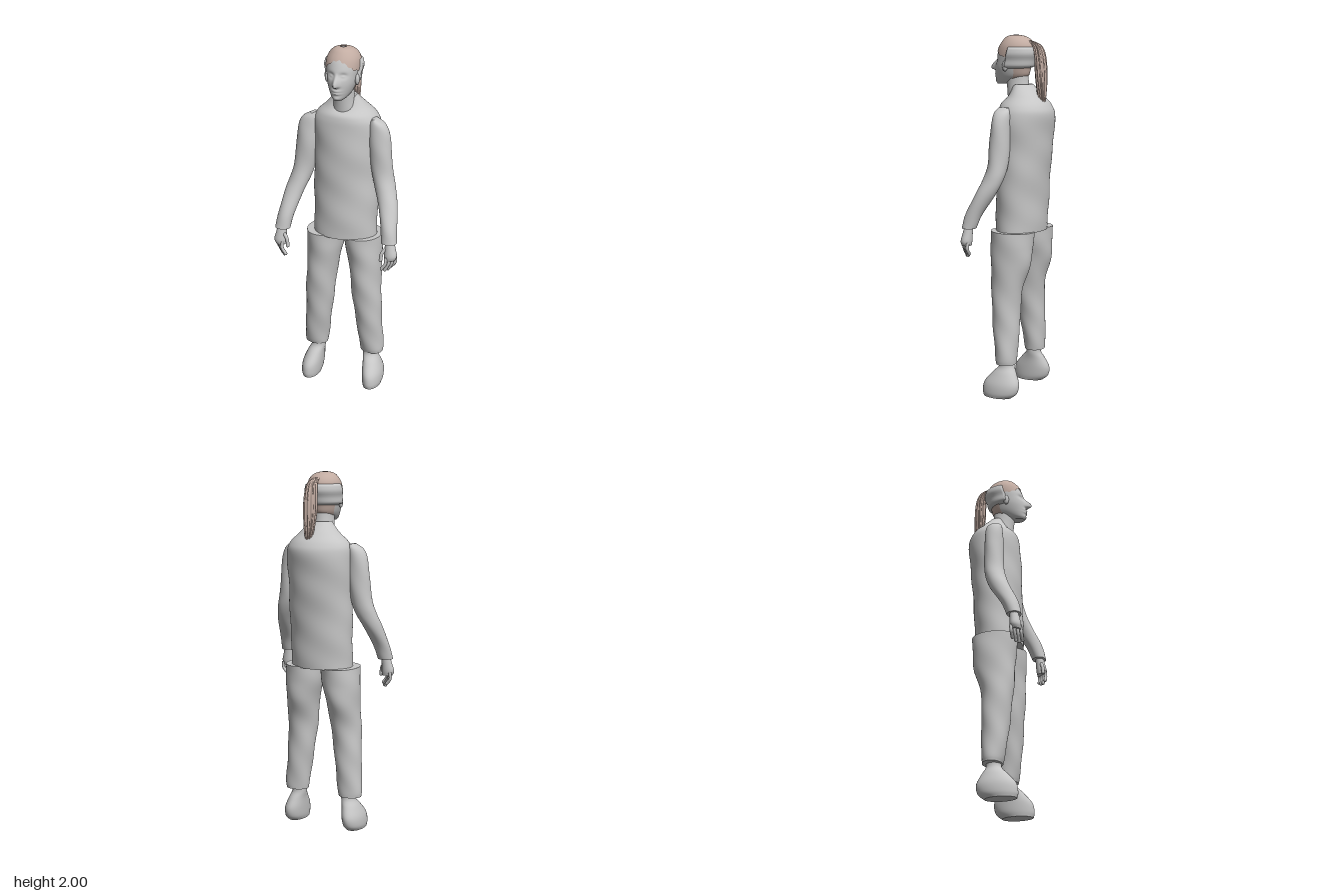
import * as THREE from 'three';

const grey = new THREE.MeshStandardMaterial({ color: 0xc6c6c6 });
grey.name = 'plain grey';
const brown = new THREE.MeshStandardMaterial({ color: 0xc2aca2, side: THREE.DoubleSide });
brown.name = 'hair brown';

const gauss = (d, w) => Math.exp(-(d * d) / (w * w));
const { smoothstep, lerp } = THREE.MathUtils;

// Grid surface from point(u, v); u runs around, v upwards. Optional flat caps.
function surface(n, m, point, closed = true, caps = false) {
  const pos = [], idx = [], cols = closed ? n : n + 1;
  for (let j = 0; j <= m; j++)
    for (let i = 0; i < cols; i++) pos.push(...point(i / n, j / m));
  for (let j = 0; j < m; j++)
    for (let i = 0; i < n; i++) {
      const k = (i + 1) % cols;
      const a = j * cols + i, b = j * cols + k, c = b + cols, d = a + cols;
      idx.push(a, b, d, b, c, d);
    }
  if (caps) for (const v of [0, 1]) {
    const start = pos.length / 3, mid = [0, 0, 0];
    for (let i = 0; i < n; i++) {
      const p = point(i / n, v);
      pos.push(...p);
      p.forEach((q, k) => { mid[k] += q / n; });
    }
    pos.push(...mid);
    for (let i = 0; i < n; i++) {
      const a = start + i, b = start + (i + 1) % n;
      idx.push(...(v ? [a, b, start + n] : [b, a, start + n]));
    }
  }
  const geo = new THREE.BufferGeometry();
  geo.setAttribute('position', new THREE.Float32BufferAttribute(pos, 3));
  geo.setIndex(idx);
  geo.computeVertexNormals();
  return geo;
}

// Smooth body through oval sections [x, y, z, halfWidth, halfDepth], lowest first
function makeBody(rings) {
  const centre = new THREE.CatmullRomCurve3(rings.map(r => new THREE.Vector3(r[0], r[1], r[2])), false, 'catmullrom');
  const radii = new THREE.CatmullRomCurve3(rings.map(r => new THREE.Vector3(r[3], r[4], 0)), false, 'catmullrom');
  return {
    at(angle, t, grow = 0) {
      const c = centre.getPoint(t), r = radii.getPoint(t);
      return [c.x + (r.x + grow) * Math.sin(angle), c.y, c.z + (r.y + grow) * Math.cos(angle)];
    },
    tAt(y) {
      let lo = 0, hi = 1;
      for (let i = 0; i < 24; i++) {
        const mid = (lo + hi) / 2;
        if (centre.getPoint(mid).y < y) lo = mid; else hi = mid;
      }
      return lo;
    },
  };
}

function loft(rings, n, m, deform = p => p) {
  const body = makeBody(rings);
  return surface(n, m, (u, v) => {
    const a = u * Math.PI * 2;
    return deform(body.at(a, v), a);
  }, true, true);
}

// Gentle cloth folds
const folds = size => (p, a) => {
  const f = size * (Math.sin(p[1] * 31 + 3 * a) + Math.sin(p[1] * 19 - 2 * a + 1));
  return [p[0] + f * Math.sin(a), p[1], p[2] + f * Math.cos(a)];
};

const HEAD = [ // x, y, z, halfWidth, halfDepth
  [0.01, 1.735, 0.095, 0.026, 0.04], [0.01, 1.75, 0.07, 0.044, 0.071],
  [0.01, 1.78, 0.049, 0.062, 0.094], [0.01, 1.82, 0.043, 0.075, 0.1],
  [0.01, 1.86, 0.033, 0.082, 0.104], [0.01, 1.9, 0.022, 0.087, 0.104],
  [0.01, 1.94, 0.015, 0.083, 0.094], [0.01, 1.97, 0.014, 0.066, 0.073],
  [0.01, 1.988, 0.02, 0.042, 0.045], [0.01, 1.994, 0.022, 0.01, 0.01],
];

// Nose, eye sockets, lips and chin pushed out of the head
function face([x, y, z], a) {
  if (Math.cos(a) <= 0.2) return [x, y, z];
  const dx = x - 0.01;
  const nose = smoothstep(1.885 - y, 0, 0.06) * smoothstep(y, 1.802, 1.818);
  let out = 0.035 * nose * gauss(dx, 0.008 + 0.007 * nose);
  for (const s of [-1, 1]) {
    out -= 0.012 * gauss(dx - s * 0.033, 0.019) * gauss(y - 1.868, 0.014);
    out += 0.007 * gauss(dx - s * 0.033, 0.011) * gauss(y - 1.865, 0.006);
  }
  out += 0.008 * gauss(dx, 0.024) * (gauss(y - 1.79, 0.006) + gauss(y - 1.775, 0.006));
  out += 0.005 * gauss(dx, 0.02) * gauss(y - 1.748, 0.01);
  return [x, y, z + out];
}

export function createModel() {
  const model = new THREE.Group();
  const add = (name, geo, mat = grey, parent = model) => {
    const mesh = new THREE.Mesh(geo, mat);
    mesh.name = name;
    parent.add(mesh);
    return mesh;
  };

  // Shirt body, with the collar dipping at the front
  const cloth = folds(0.0015);
  add('shirt', loft([
    [0.01, 0.93, -0.013, 0.18, 0.132], [0.01, 1.07, -0.018, 0.181, 0.134],
    [0.01, 1.25, -0.027, 0.182, 0.138], [0.01, 1.42, -0.035, 0.184, 0.144],
    [0.01, 1.56, -0.045, 0.186, 0.148], [0.01, 1.62, -0.042, 0.168, 0.135],
    [0.01, 1.67, -0.033, 0.118, 0.103], [0.01, 1.71, -0.022, 0.082, 0.073],
    [0.01, 1.735, -0.015, 0.062, 0.055],
  ], 56, 56, (p, a) => {
    const [x, y, z] = cloth(p, a);
    return [x, y - 0.055 * smoothstep(y, 1.62, 1.735) * Math.max(0, Math.cos(a)) ** 2, z];
  }));

  add('neck', loft([
    [0.01, 1.64, -0.005, 0.07, 0.068], [0.01, 1.7, 0.005, 0.058, 0.064],
    [0.01, 1.75, 0.012, 0.053, 0.063], [0.01, 1.8, 0.012, 0.052, 0.06],
  ], 32, 10));

  // Head and hair
  add('head', loft(HEAD, 88, 76, face));
  const skull = makeBody(HEAD);
  const onSkull = (from, to, low, high, grow, n, m) => surface(n, m, (u, v) => {
    const a = lerp(from, to, u);
    const t = lerp(skull.tAt(low(a)), high >= 2 ? 1 : skull.tAt(high), v);
    const p = skull.at(a, t, grow(u, v));
    p[1] += high >= 2 ? 0.006 * v : 0;
    return p;
  }, to - from > 6.28);

  add('hairCap', onSkull(0, Math.PI * 2, a => {
    const front = Math.cos(a);
    return front > 0 ? 1.885 + 0.06 * front ** 3 + 0.004 * Math.sin(a * 17) : 1.885;
  }, 2, () => 0.006, 72, 20), brown);
  add('napeHair', onSkull(2.0, 4.28, () => 1.765, 1.83, () => 0.005, 24, 6), brown);
  add('headBand', onSkull(1.47, 4.81, () => 1.82, 1.94,
    (u, v) => (u < 0.001 || u > 0.999 || v < 0.001 || v > 0.999 ? 0 : 0.019 + 0.002 * Math.sin(v * 12)), 48, 12));

  add('ponytail', loft([
    [0.022, 1.61, -0.148, 0.005, 0.005], [0.02, 1.68, -0.143, 0.024, 0.022],
    [0.016, 1.79, -0.136, 0.037, 0.03], [0.015, 1.88, -0.13, 0.036, 0.028],
    [0.015, 1.94, -0.112, 0.027, 0.024], [0.013, 1.965, -0.075, 0.016, 0.014],
    [0.013, 1.972, -0.05, 0.012, 0.008],
  ], 64, 32, ([x, y, z], a) => {
    const strand = 0.003 * Math.sin(a * 11 + y * 9) * smoothstep(y, 1.61, 1.66);
    return [x + strand * Math.sin(a), y, z + strand * Math.cos(a)];
  }), brown);

  // Paired parts, written for the left side
  for (const s of [1, -1]) {
    const side = new THREE.Group();
    side.name = s > 0 ? 'leftSide' : 'rightSide';
    side.position.x = 0.005;
    model.add(side);
    const flip = rings => rings.map(([x, ...rest]) => [s * x, ...rest]);

    const ear = add('ear', new THREE.SphereGeometry(1, 16, 12), grey, side);
    ear.scale.set(0.012, 0.03, 0.016);
    ear.position.set(0.005 + s * 0.084, 1.835, 0.045);

    add('sleeve', loft(flip([
      [0.31, 0.97, 0.145, 0.043, 0.039], [0.298, 1.05, 0.118, 0.046, 0.046],
      [0.273, 1.16, 0.06, 0.052, 0.056], [0.246, 1.24, 0.027, 0.057, 0.057],
      [0.225, 1.32, 0.012, 0.06, 0.054], [0.208, 1.45, 0.008, 0.063, 0.054],
      [0.202, 1.54, 0.006, 0.056, 0.05], [0.192, 1.59, 0.005, 0.041, 0.044],
      [0.175, 1.617, 0.005, 0.012, 0.03],
    ]), 32, 48, folds(0.0008)), grey, side);

    add('trouserLeg', loft(flip([
      [0.17, 0.195, -0.008, 0.064, 0.056], [0.168, 0.24, -0.005, 0.069, 0.062],
      [0.153, 0.4, 0.003, 0.077, 0.073], [0.137, 0.6, 0.008, 0.084, 0.088],
      [0.126, 0.75, -0.01, 0.093, 0.112], [0.115, 0.85, -0.012, 0.102, 0.123],
      [0.109, 0.935, -0.012, 0.105, 0.127],
    ]), 40, 48, folds(0.0015)), grey, side);

    add('shoe', loft(flip([
      [0.188, 0, 0.04, 0.05, 0.086], [0.188, 0.03, 0.026, 0.057, 0.106],
      [0.184, 0.08, 0.016, 0.057, 0.106], [0.172, 0.135, 0.005, 0.048, 0.072],
      [0.159, 0.175, -0.003, 0.041, 0.043], [0.157, 0.215, -0.003, 0.041, 0.041],
    ]), 32, 24), grey, side);

    // Hand with curled fingers
    add('palm', loft(flip([
      [0.318, 0.875, 0.156, 0.03, 0.026], [0.322, 0.9, 0.155, 0.036, 0.03],
      [0.318, 0.94, 0.15, 0.03, 0.027], [0.312, 0.985, 0.143, 0.024, 0.022],
    ]), 20, 12), grey, side);
    const finger = (name, pts, r) => {
      const path = new THREE.CatmullRomCurve3(pts.map(([x, y, z]) => new THREE.Vector3(s * x, y, z)));
      add(name, new THREE.TubeGeometry(path, 10, r, 10), grey, side);
      const tip = add(name + 'Tip', new THREE.SphereGeometry(r, 10, 8), grey, side);
      tip.position.copy(path.getPoint(1));
    };
    [0.83, 0.817, 0.815, 0.825].forEach((tipY, i) => {
      const x = 0.343 - i * 0.014, z = 0.134 + i * 0.015;
      finger('finger', [[x, 0.895, z], [x + 0.002, 0.86, z + 0.003], [x - 0.02, tipY, z + 0.004]], 0.009);
    });
    finger('thumb', [[0.3, 0.94, 0.158], [0.277, 0.91, 0.17], [0.272, 0.872, 0.174]], 0.01);
  }
  return model;
}
